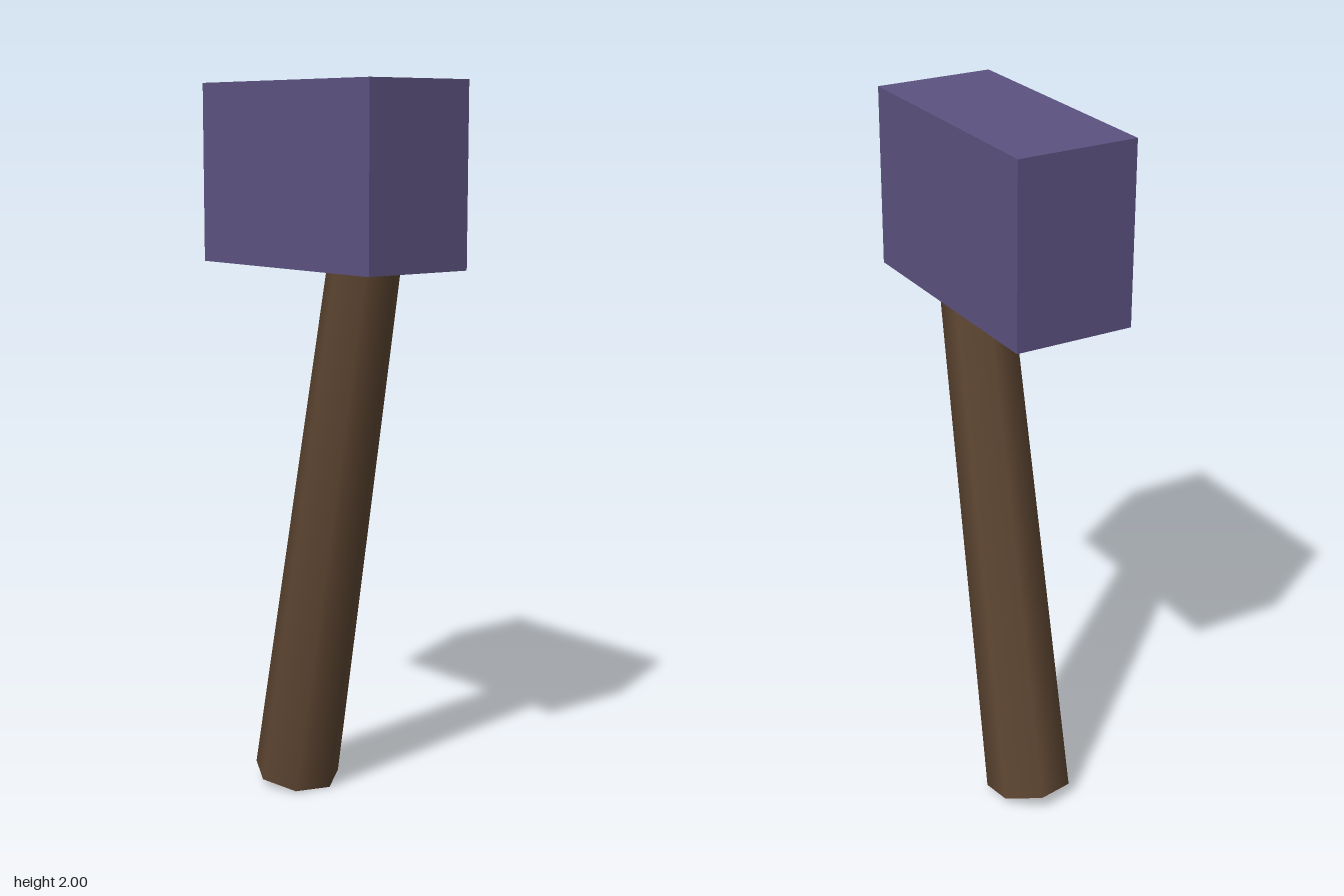
import * as THREE from 'three';

export function createModel() {
  const model = new THREE.Group();

  // Block head
  const head = new THREE.Mesh(
    new THREE.BoxGeometry(0.72, 0.49, 0.333),
    new THREE.MeshStandardMaterial({ color: 0x5c5280 })
  );
  head.name = 'head';
  head.position.set(0, 1.755, 0);
  model.add(head);

  // Tapered seven-sided handle, leaning and sunk into the head
  const length = 1.75;
  const handleGeometry = new THREE.CylinderGeometry(0.097, 0.124, length, 7);
  handleGeometry.translate(0, length / 2, 0); // pivot at the butt end
  const handle = new THREE.Mesh(
    handleGeometry,
    new THREE.MeshStandardMaterial({ color: 0x5e4632 })
  );
  handle.name = 'handle';
  handle.position.set(-0.16, 0.025, 0);
  handle.rotation.z = -THREE.MathUtils.degToRad(11.45);
  model.add(handle);

  return model;
}
